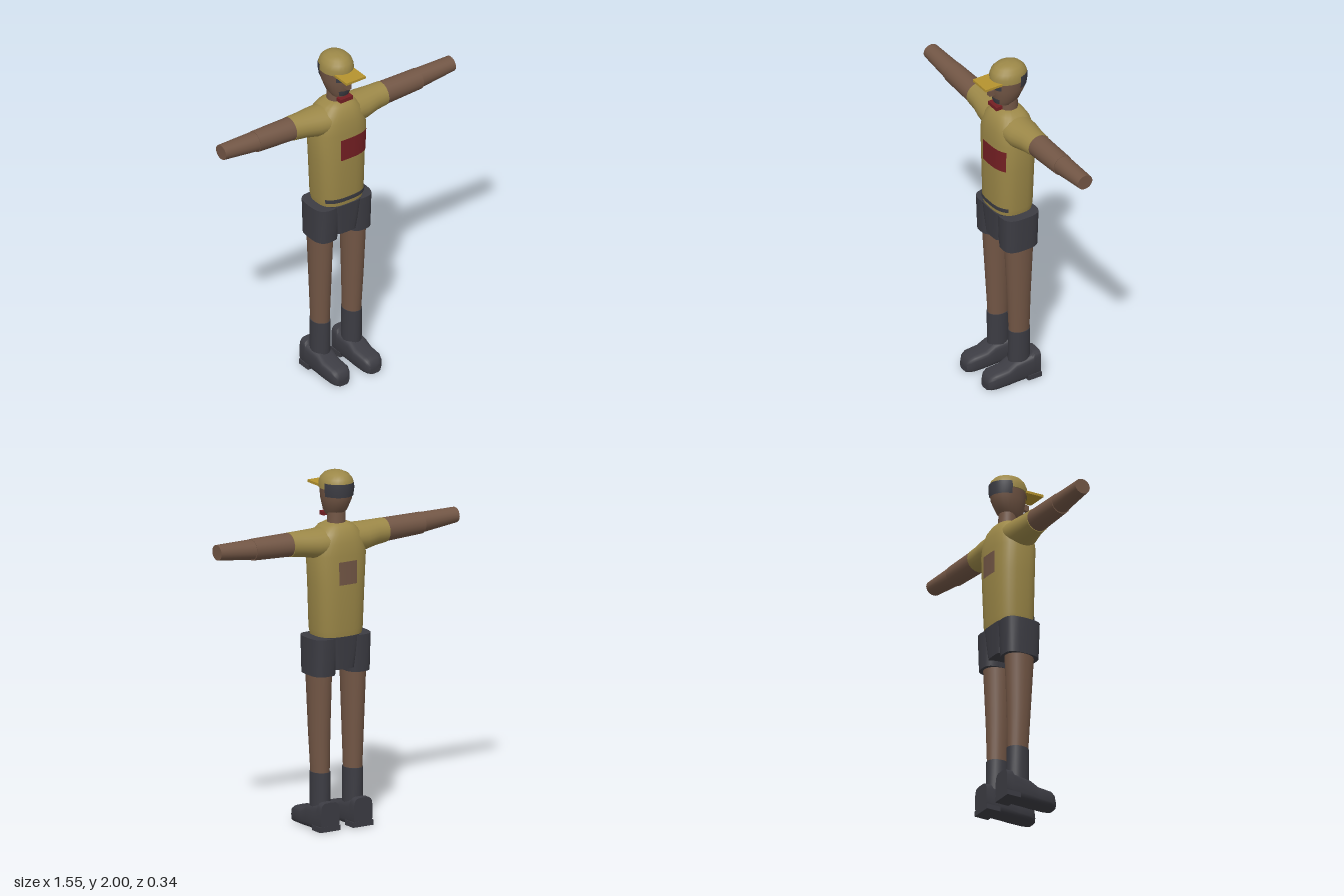
import * as THREE from 'three';
import { toCreasedNormals } from 'three/addons/utils/BufferGeometryUtils.js';

const mat = (name, color) => Object.assign(new THREE.MeshStandardMaterial({ color }), { name });

// Superellipse loft along y. Each ring is [y, cx, cz, rx, rz]; angle 0 faces +z and grows towards +x.
function loft(rings, { n = 20, e = 2, a0 = 0, a1 = Math.PI * 2, caps = true } = {}) {
  const pos = [], idx = [], w = n + 1;
  const pw = v => Math.sign(v) * Math.abs(v) ** (2 / e);
  for (const [y, cx, cz, rx, rz] of rings) {
    for (let i = 0; i <= n; i++) {
      const a = a0 + (a1 - a0) * i / n;
      pos.push(cx + rx * pw(Math.sin(a)), y, cz + rz * pw(Math.cos(a)));
    }
  }
  for (let j = 0; j < rings.length - 1; j++) {
    for (let i = 0; i < n; i++) {
      const p = j * w + i, q = p + w;
      idx.push(p, p + 1, q + 1, p, q + 1, q);
    }
  }
  if (caps) {
    for (const j of [0, rings.length - 1]) {
      const [y, cx, cz] = rings[j], c = pos.length / 3;
      pos.push(cx, y, cz);
      for (let i = 0; i < n; i++) {
        const p = j * w + i;
        if (j) idx.push(c, p, p + 1); else idx.push(c, p + 1, p);
      }
    }
  }
  const g = new THREE.BufferGeometry();
  g.setAttribute('position', new THREE.Float32BufferAttribute(pos, 3));
  g.setIndex(idx);
  return toCreasedNormals(g, 0.7);
}

// Thin panel that follows a lofted profile between two heights and two angles.
function panel(profile, y0, y1, a0, a1, e, grow = 0.004) {
  const at = y => {
    const k = Math.max(1, profile.findIndex(r => r[0] >= y));
    const A = profile[k - 1], B = profile[k], t = (y - A[0]) / (B[0] - A[0]);
    const r = A.map((v, i) => v + (B[i] - v) * t);
    r[3] += grow; r[4] += grow;
    return r;
  };
  const ys = [y0, ...profile.map(r => r[0]).filter(y => y > y0 && y < y1), y1];
  return loft(ys.map(at), { n: 14, e, a0, a1, caps: false });
}

export function createModel() {
  const shirt = mat('shirt tan', 0x9c8848);
  const skin = mat('skin brown', 0x725645);
  const dark = mat('charcoal', 0x3c3c43);
  const red = mat('dark red', 0x741f23);
  const amber = mat('visor amber', 0xb5932f);
  const model = new THREE.Group();
  const add = (name, geo, m, x = 0, y = 0, z = 0) => {
    const mesh = new THREE.Mesh(geo, m);
    mesh.name = name;
    mesh.position.set(x, y, z);
    model.add(mesh);
    return mesh;
  };
  const box = (w, h, d) => new THREE.BoxGeometry(w, h, d);

  // Shirt body with its panels and waist band
  const body = [
    [1.085, 0, -0.043, 0.138, 0.112], [1.12, 0, -0.043, 0.145, 0.116],
    [1.38, 0, -0.045, 0.154, 0.122], [1.54, 0, -0.045, 0.164, 0.122],
    [1.61, 0, -0.045, 0.152, 0.116], [1.66, 0, -0.045, 0.128, 0.102],
    [1.695, 0, -0.045, 0.095, 0.08], [1.712, 0, -0.045, 0.055, 0.055],
  ];
  add('shirtBody', loft(body, { n: 32, e: 2.8 }), shirt);
  add('chestPanel', panel(body, 1.38, 1.51, -0.237, 0.833, 2.8), red);
  add('backPanel', panel(body, 1.38, 1.51, Math.PI - 0.237, Math.PI + 0.237, 2.8), skin);
  add('waistBand', panel(body, 1.11, 1.135, -1, 1, 2.8), dark);

  // Neck and head
  add('neck', loft([[1.69, 0, -0.05, 0.052, 0.052], [1.79, 0, -0.05, 0.05, 0.05]]), skin);
  const face = [
    [1.75, 0, -0.022, 0.042, 0.052], [1.78, 0, -0.035, 0.062, 0.077],
    [1.85, 0, -0.047, 0.083, 0.1], [1.93, 0, -0.048, 0.088, 0.105],
  ];
  add('head', loft(face, { n: 24 }), skin);
  for (const s of [-1, 1]) {
    add('eye', panel(face, 1.863, 1.89, s * 0.47 - 0.23, s * 0.47 + 0.23, 2), dark);
  }
  add('beard', panel(face, 1.765, 1.8, -0.6, 0.6, 2), dark);
  add('nose', box(0.026, 0.034, 0.04), skin, 0, 1.838, 0.06);
  add('collarKnot', box(0.084, 0.022, 0.038), red, 0, 1.745, 0.036);

  // Cap, visor and hair at the back
  const cap = [
    [1.905, 0, -0.048, 0.093, 0.108], [1.935, 0, -0.048, 0.092, 0.108],
    [1.962, 0, -0.048, 0.083, 0.097], [1.983, 0, -0.048, 0.064, 0.076],
    [1.995, 0, -0.048, 0.037, 0.045], [2, 0, -0.048, 0.004, 0.005],
  ];
  add('cap', loft(cap, { n: 24 }), shirt);
  add('visor', box(0.13, 0.014, 0.11), amber, 0, 1.908, 0.085);
  const hair = [[1.865, 0, -0.048, 0.089, 0.105], [1.905, 0, -0.048, 0.095, 0.11], [1.94, 0, -0.048, 0.093, 0.109]];
  add('hair', loft(hair, { a0: 1.8, a1: Math.PI * 2 - 1.8, caps: false }), dark);

  // Hips between the two legs of the shorts
  add('hips', loft([[0.9, 0, -0.04, 0.07, 0.105], [1.085, 0, -0.04, 0.105, 0.115]], { e: 5, n: 32 }), dark);

  for (const s of [-1, 1]) {
    const side = s > 0 ? 'left' : 'right';

    // Arms: rings are [x, y, z, half height, half depth]
    const limb = (name, rings, m) => {
      const g = loft(rings.map(([x, y, ...r]) => [x, -s * y, ...r]));
      add(side + name, g.rotateZ(-s * Math.PI / 2), m);
    };
    limb('Sleeve', [
      [0.09, 1.608, -0.045, 0.082, 0.1], [0.16, 1.608, -0.048, 0.08, 0.094],
      [0.24, 1.616, -0.048, 0.072, 0.076], [0.31, 1.62, -0.048, 0.068, 0.07],
    ], shirt);
    limb('UpperArm', [[0.3, 1.621, -0.047, 0.066, 0.067], [0.55, 1.626, -0.047, 0.06, 0.06]], skin);
    limb('Forearm', [[0.54, 1.627, -0.047, 0.057, 0.057], [0.775, 1.64, -0.047, 0.043, 0.047]], skin);

    // Legs
    add(side + 'ShortsLeg', loft([
      [0.87, s * 0.112, -0.042, 0.071, 0.104], [1.08, s * 0.105, -0.042, 0.083, 0.112],
    ], { e: 3, n: 24 }), dark);
    add(side + 'Leg', loft([
      [0.3, s * 0.106, -0.05, 0.049, 0.06], [0.55, s * 0.109, -0.046, 0.058, 0.069],
      [0.88, s * 0.111, -0.044, 0.067, 0.086],
    ]), skin);
    add(side + 'Sock', loft([
      [0.1, s * 0.105, -0.05, 0.053, 0.065], [0.32, s * 0.106, -0.05, 0.053, 0.065],
    ]), dark);

    // Shoe: sections along z as [z, top, half width]
    const shoe = [
      [-0.155, 0.163, 0.06], [-0.115, 0.163, 0.062], [-0.105, 0.145, 0.063], [0, 0.13, 0.063],
      [0.05, 0.102, 0.064], [0.13, 0.096, 0.062], [0.155, 0.083, 0.053], [0.172, 0.058, 0.035],
    ].map(([z, t, w]) => [z, s * 0.107, -t / 2, w, t / 2]);
    add(side + 'Shoe', loft(shoe, { e: 4, n: 24 }).rotateX(Math.PI / 2), dark);
    add(side + 'Heel', box(0.13, 0.03, 0.085), dark, s * 0.107, 0.015, -0.113);
  }
  return model;
}
